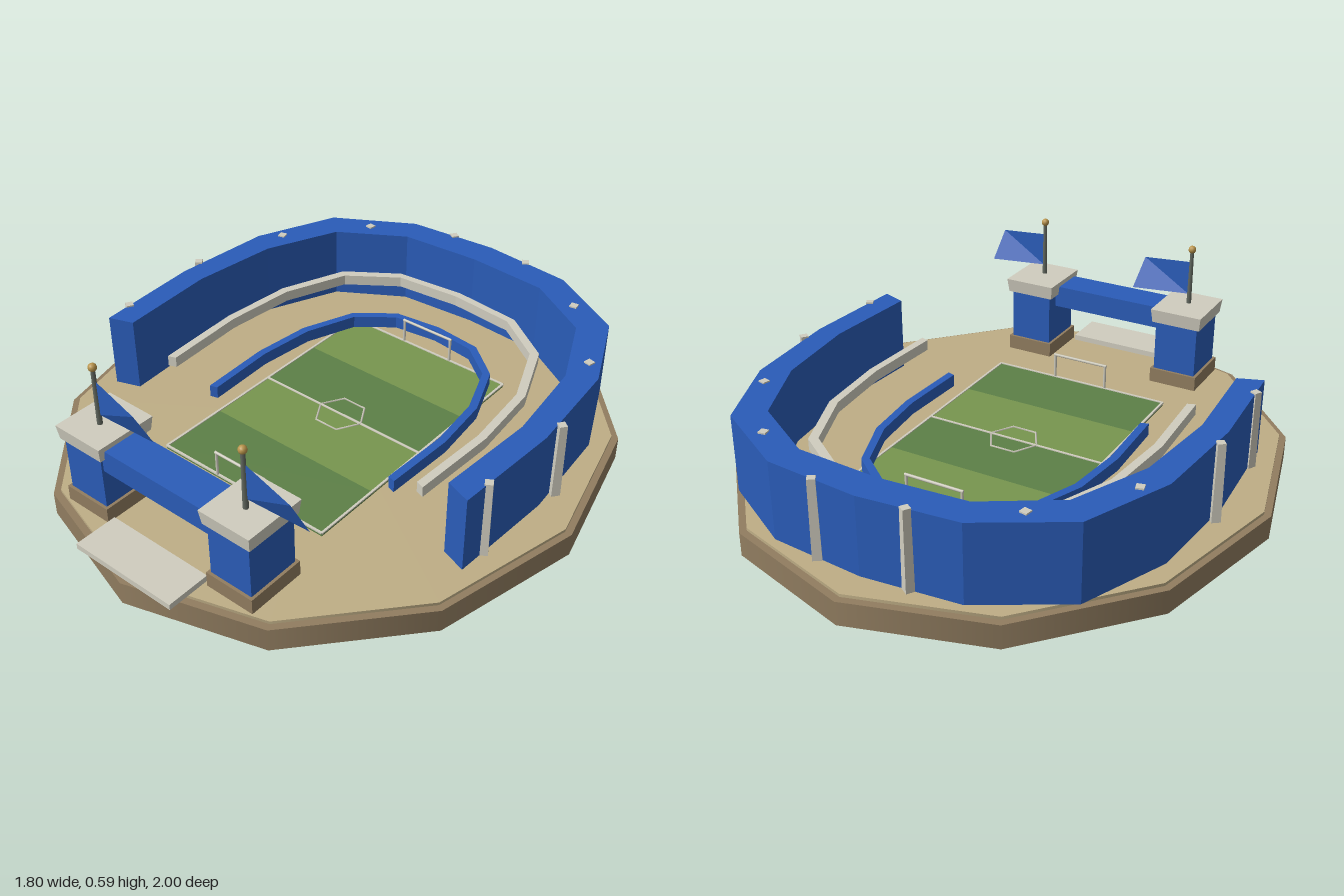
import * as THREE from 'three';

const mat = (color, extra = {}) => new THREE.MeshStandardMaterial({ color, ...extra });
const M = {
  blue: mat(0x2a5cb8), flag: mat(0x2a5cb8, { side: THREE.DoubleSide, flatShading: true }),
  stone: mat(0xd0cdbf), sand: mat(0xbfae86), earth: mat(0x917d60),
  light: mat(0x78964f), dark: mat(0x5d8047), pole: mat(0x62685f), gold: mat(0xb8934a),
};

export function createModel() {
  const root = new THREE.Group();

  const add = (name, geo, material, x = 0, y = 0, z = 0, parent = root) => {
    const mesh = new THREE.Mesh(geo, material);
    mesh.name = name;
    mesh.position.set(x, y, z);
    parent.add(mesh);
    return mesh;
  };
  // box given by its bottom height
  const box = (name, w, h, d, material, x, y, z, parent) =>
    add(name, new THREE.BoxGeometry(w, h, d), material, x, y + h / 2, z, parent);

  // horseshoe band: outer and inner half outlines, mirrored across x = 0
  const band = (name, outer, inner, y0, y1, material) => {
    const full = half => [...half.slice(1).reverse().map(([x, z]) => [-x, z]), ...half];
    const pts = [...full(outer), ...full(inner).reverse()];
    const shape = new THREE.Shape(pts.map(([x, z]) => new THREE.Vector2(x, z)));
    const geo = new THREE.ExtrudeGeometry(shape, { depth: y1 - y0, bevelEnabled: false });
    geo.rotateX(Math.PI / 2);
    add(name, geo, material, 0, y1, 0);
  };

  // twelve-sided ground slab
  add('groundSlab', new THREE.CylinderGeometry(1, 1, 0.08, 12).scale(0.9, 1, 1), M.earth, 0, 0.04, 0);
  add('sandFloor', new THREE.CylinderGeometry(0.975, 0.975, 0.01, 12).scale(0.9, 1, 1), M.sand, 0, 0.085, 0);

  // pitch with mown stripes and line markings
  for (let i = 0; i < 4; i++)
    box('pitchStripe', 0.66, 0.013, 0.245, i % 2 ? M.dark : M.light, 0, 0.088, -0.3675 + i * 0.245);
  for (const s of [-1, 1]) {
    box('sideLine', 0.008, 0.005, 0.98, M.stone, s * 0.329, 0.099, 0);
    box('goalLine', 0.66, 0.005, 0.008, M.stone, 0, 0.099, s * 0.489);
  }
  box('halfwayLine', 0.66, 0.005, 0.008, M.stone, 0, 0.099, 0);
  add('centreRing', new THREE.TorusGeometry(0.087, 0.004, 4, 6).rotateX(Math.PI / 2), M.stone, 0, 0.102, 0);

  // goals
  for (const s of [-1, 1]) {
    const goal = new THREE.Group();
    goal.name = 'goal';
    goal.position.set(0, 0.1, s * 0.49);
    root.add(goal);
    for (const x of [-0.1, 0.1])
      add('goalPost', new THREE.CylinderGeometry(0.005, 0.005, 0.09, 6), M.stone, x, 0.045, 0, goal);
    add('crossbar', new THREE.CylinderGeometry(0.005, 0.005, 0.21, 6).rotateZ(Math.PI / 2), M.stone, 0, 0.09, 0, goal);
  }

  // stands
  band('outerStand',
    [[0, -0.88], [0.325, -0.85], [0.6, -0.69], [0.725, -0.4], [0.757, -0.04], [0.735, 0.34]],
    [[0, -0.77], [0.29, -0.75], [0.52, -0.61], [0.635, -0.35], [0.672, -0.04], [0.65, 0.31]],
    0.09, 0.355, M.blue);
  band('middleTier',
    [[0, -0.69], [0.25, -0.665], [0.43, -0.54], [0.525, -0.305], [0.55, -0.04], [0.535, 0.27]],
    [[0, -0.662], [0.235, -0.64], [0.405, -0.52], [0.497, -0.295], [0.522, -0.04], [0.507, 0.26]],
    0.21, 0.248, M.stone);
  band('innerTier',
    [[0, -0.565], [0.175, -0.545], [0.305, -0.44], [0.38, -0.25], [0.403, -0.04], [0.393, 0.22]],
    [[0, -0.54], [0.162, -0.52], [0.283, -0.425], [0.353, -0.243], [0.376, -0.04], [0.366, 0.212]],
    0.118, 0.162, M.blue);

  // pilasters spaced round the outer stand
  for (const s of [-1, 1]) for (let i = 0; i < 5; i++) {
    const a = s * THREE.MathUtils.degToRad(11.75 + 23.5 * i);
    const geo = new THREE.CylinderGeometry(0.018, 0.021, 0.27, 4).toNonIndexed();
    geo.computeVertexNormals();
    add('pilaster', geo, M.stone, 0.77 * Math.sin(a), 0.225, -0.885 * Math.cos(a)).rotation.y = -a;
  }

  // gate towers with flags
  const capGeo = new THREE.BoxGeometry(0.19, 0.05, 0.215);
  const p = capGeo.attributes.position;
  for (let i = 0; i < p.count; i++)
    if (p.getY(i) < 0) p.setXYZ(i, p.getX(i) * 0.94, p.getY(i), p.getZ(i) * 0.94);
  capGeo.computeVertexNormals();

  const flagGeo = new THREE.BufferGeometry();
  flagGeo.setAttribute('position', new THREE.Float32BufferAttribute([
    0.005, 0.41, 0, 0.215, 0.4, -0.018, 0.19, 0.508, 0.027, 0.005, 0.532, 0], 3));
  flagGeo.setIndex([0, 1, 2, 0, 2, 3]);
  flagGeo.computeVertexNormals();

  for (const s of [-1, 1]) {
    const tower = new THREE.Group();
    tower.name = s > 0 ? 'leftTower' : 'rightTower';
    tower.position.set(s * 0.296, 0, 0.752);
    root.add(tower);
    box('towerBase', 0.176, 0.052, 0.204, M.earth, 0, 0.09, 0, tower);
    box('towerShaft', 0.156, 0.19, 0.184, M.blue, 0, 0.14, 0, tower);
    add('towerCap', capGeo, M.stone, 0, 0.351, 0, tower);
    add('flagPole', new THREE.CylinderGeometry(0.007, 0.009, 0.2, 8), M.pole, 0, 0.475, 0.016, tower);
    add('poleBall', new THREE.SphereGeometry(0.014, 10, 8), M.gold, 0, 0.58, 0.016, tower);
    add('flag', flagGeo, M.flag, 0, 0, 0.016, tower);
  }

  // gate beam and entrance slab
  box('gateBeam', 0.45, 0.08, 0.125, M.blue, 0, 0.277, 0.774);
  box('entranceSlab', 0.39, 0.02, 0.15, M.stone, 0, 0.09, 0.914);

  return root;
}
